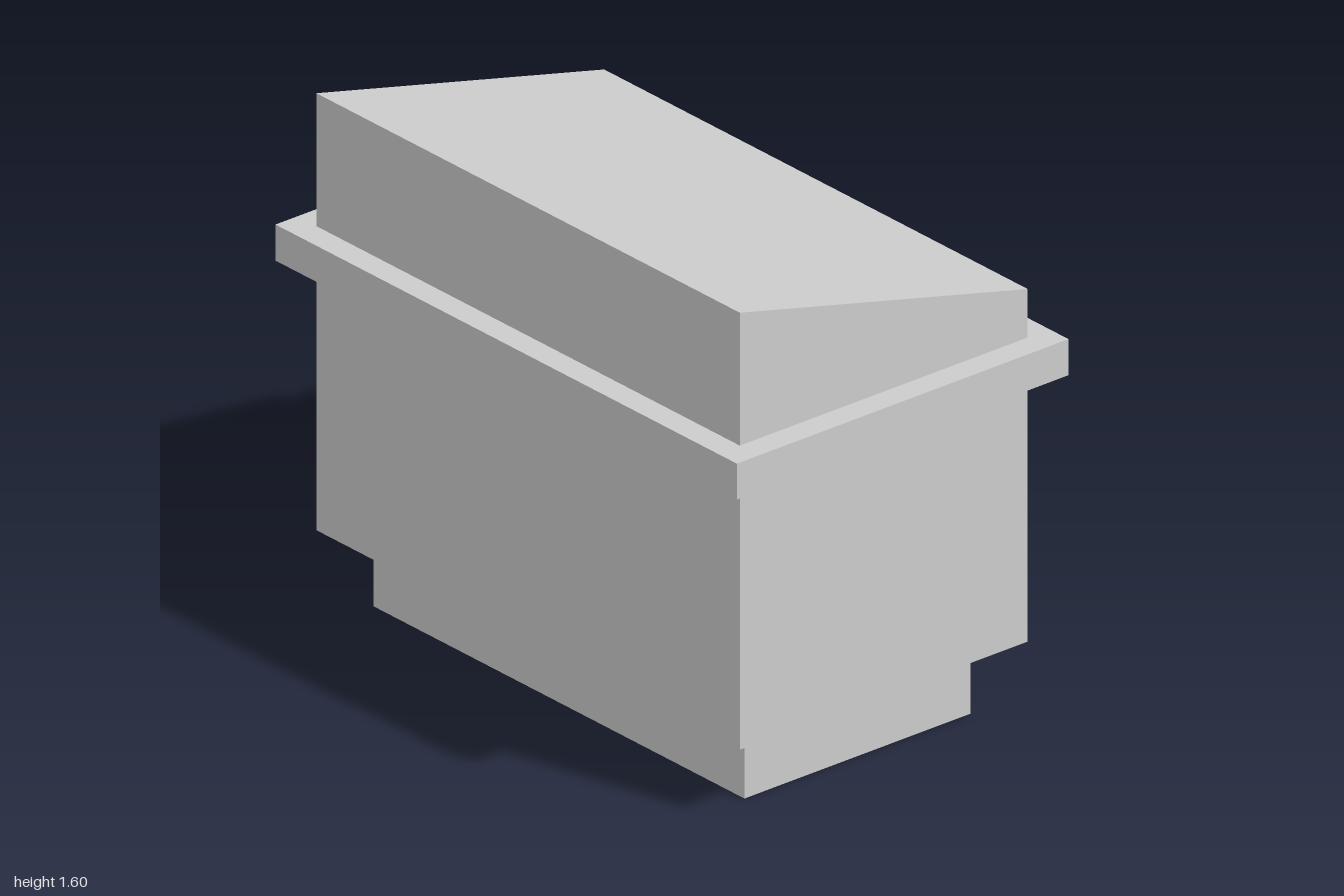
import * as THREE from 'three';

const material = new THREE.MeshStandardMaterial({ color: 0xcccccc, flatShading: true });

// Box spanning y0..y1, centred on x and z
function block(name, halfX, halfZ, y0, y1) {
  const mesh = new THREE.Mesh(new THREE.BoxGeometry(halfX * 2, y1 - y0, halfZ * 2), material);
  mesh.position.y = (y0 + y1) / 2;
  mesh.name = name;
  return mesh;
}

export function createModel() {
  const group = new THREE.Group();
  group.name = 'slopedTopBox';

  const halfX = 0.531, halfZ = 0.918, rimBottom = 1.071, rimTop = 1.184;

  group.add(block('base', 0.417, 0.804, 0, 0.232));
  group.add(block('body', halfX, halfZ, 0.232, rimBottom));
  group.add(block('rim', 0.612, 1, rimBottom, rimTop));

  // Sloped top, higher on the model's right
  const profile = new THREE.Shape([
    new THREE.Vector2(-halfX, rimTop),
    new THREE.Vector2(halfX, rimTop),
    new THREE.Vector2(halfX, 1.336),
    new THREE.Vector2(-halfX, 1.6),
  ]);
  const wedge = new THREE.ExtrudeGeometry(profile, { depth: halfZ * 2, bevelEnabled: false });
  wedge.translate(0, 0, -halfZ);
  const top = new THREE.Mesh(wedge, material);
  top.name = 'slopedTop';
  group.add(top);

  return group;
}
